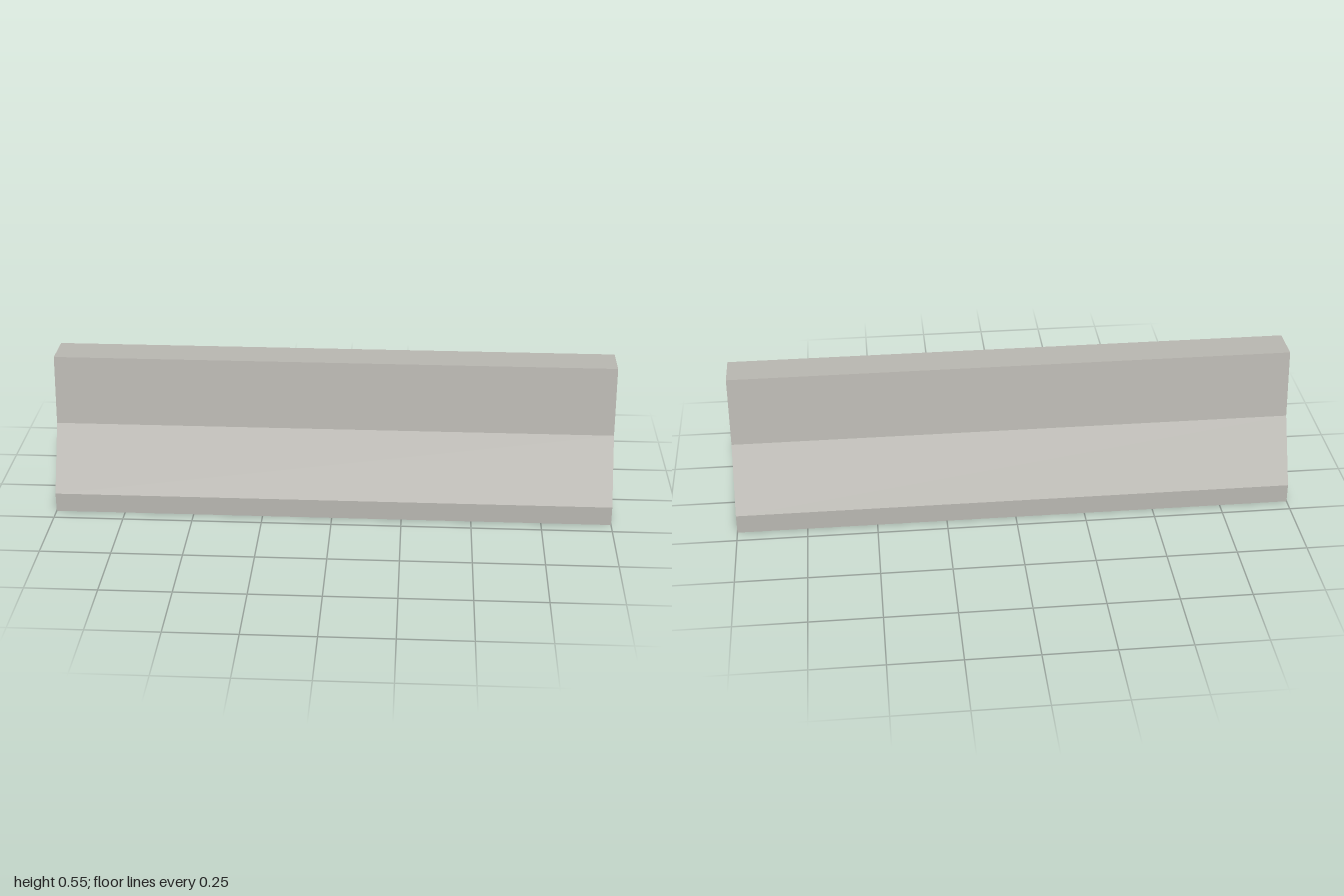
import * as THREE from 'three';

export function createModel() {
  const group = new THREE.Group();
  group.name = 'roadBarrier';

  const concrete = new THREE.MeshStandardMaterial({ color: 0xbab8b2 });
  concrete.name = 'concrete';
  concrete.flatShading = true;

  // Half cross-section (half width, height): foot, sloped skirt, tapered stem
  const half = [[0.2, 0], [0.2, 0.07], [0.092, 0.302], [0.066, 0.549]];
  const mirrored = half.map(([w, y]) => [-w, y]).reverse();
  const profile = new THREE.Shape(
    [...half, ...mirrored].map(([w, y]) => new THREE.Vector2(w, y))
  );

  // Extrude the profile and lay it along x
  const length = 2;
  const geometry = new THREE.ExtrudeGeometry(profile, { depth: length, bevelEnabled: false });
  geometry.translate(0, 0, -length / 2);
  geometry.rotateY(Math.PI / 2);

  const barrier = new THREE.Mesh(geometry, concrete);
  barrier.name = 'barrierBody';
  group.add(barrier);
  return group;
}
